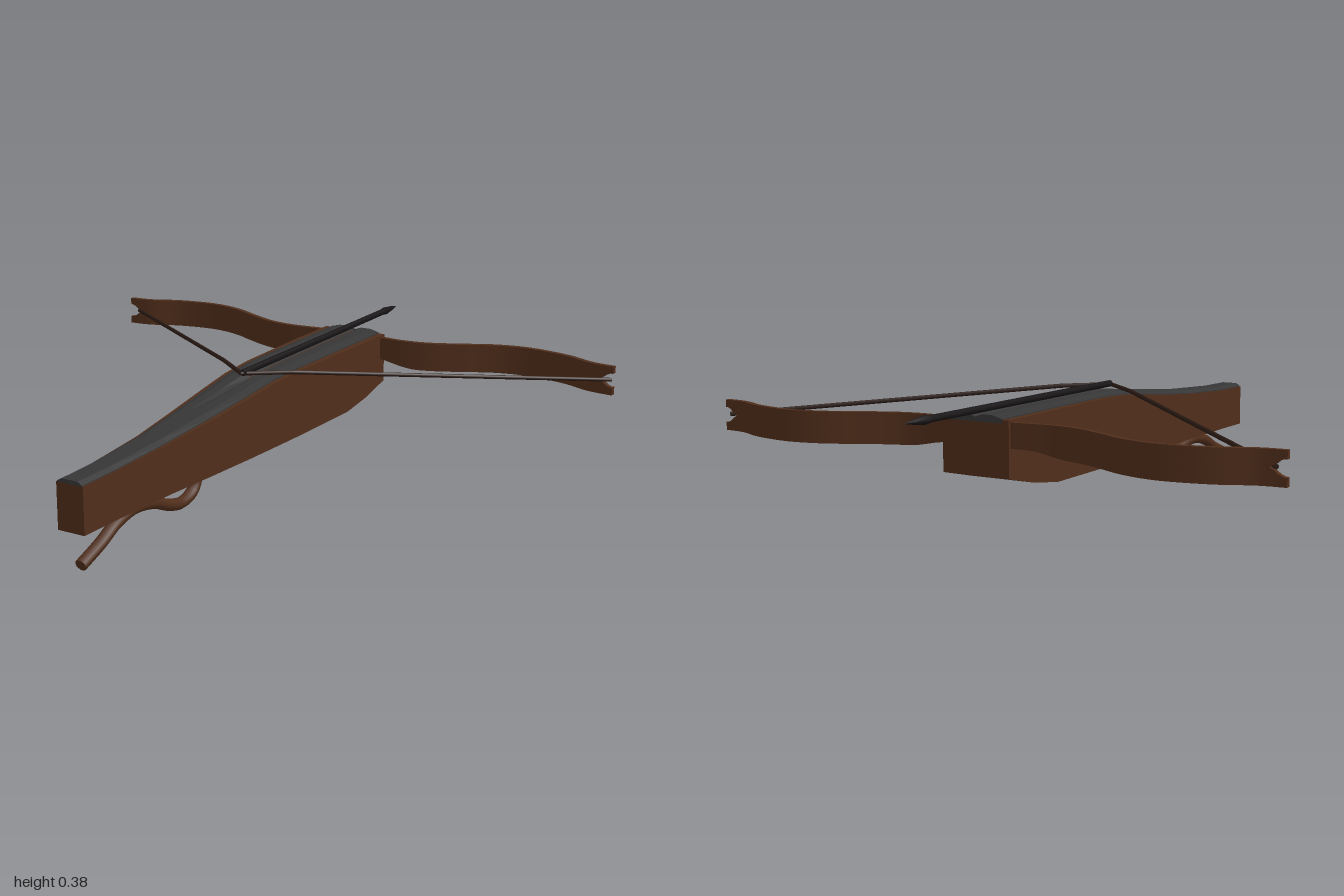
import * as THREE from 'three';

const CX = 0.026; // centre line of the stock

const paint = (color, flat = false) =>
  new THREE.MeshStandardMaterial({ color, flatShading: flat });

function add(group, name, geometry, material) {
  const mesh = new THREE.Mesh(geometry, material);
  mesh.name = name;
  group.add(mesh);
  return mesh;
}

// Skin a list of equal-length rings (counter-clockwise seen from +z, running towards -z)
function loft(rings) {
  const n = rings[0].length;
  const pos = rings.flat(2);
  const index = [];
  for (let i = 0; i < rings.length - 1; i++) {
    for (let j = 0; j < n; j++) {
      const a = i * n + j, b = i * n + (j + 1) % n;
      index.push(a, a + n, b, b, a + n, b + n);
    }
  }
  // End caps as fans around the ring centre
  [0, rings.length - 1].forEach((r, end) => {
    const c = pos.length / 3;
    for (let k = 0; k < 3; k++) pos.push(rings[r].reduce((s, p) => s + p[k], 0) / n);
    for (let j = 0; j < n; j++) {
      const a = r * n + j, b = r * n + (j + 1) % n;
      index.push(c, end ? b : a, end ? a : b);
    }
  });
  const g = new THREE.BufferGeometry();
  g.setAttribute('position', new THREE.Float32BufferAttribute(pos, 3));
  g.setIndex(index);
  const flat = g.toNonIndexed();
  flat.computeVertexNormals();
  return flat;
}

// Stock stations: z, half width, bottom, top, plate half width
const stations = [
  [1.0, 0.046, 0.135, 0.290, 0.043],
  [0.85, 0.049, 0.135, 0.292, 0.045],
  [0.6, 0.061, 0.135, 0.306, 0.052],
  [0.4, 0.077, 0.135, 0.325, 0.064],
  [0.2, 0.091, 0.135, 0.347, 0.076],
  [0.05, 0.099, 0.135, 0.364, 0.083],
  [-0.1, 0.106, 0.135, 0.370, 0.088],
  [-0.4, 0.114, 0.135, 0.370, 0.093],
  [-0.53, 0.116, 0.153, 0.369, 0.094],
  [-0.668, 0.118, 0.185, 0.368, 0.095],
];

function addStock(group, wood, iron) {
  add(group, 'stock', loft(stations.map(([z, w, b, t]) => [
    [CX - w, b, z], [CX + w, b, z], [CX + w, t - 0.012, z], [CX - w, t - 0.012, z],
  ])), wood);

  // Bevelled top plate with a bolt groove that opens towards the bow
  add(group, 'topPlate', loft(stations.map(([z, , , t, p]) => {
    const groove = 0.014 * THREE.MathUtils.smoothstep(-z, -0.4, 0);
    return [
      [CX - p, t - 0.022, z], [CX + p, t - 0.022, z], [CX + p, t - 0.009, z],
      [CX + p * 0.65, t, z], [CX + p * 0.25, t, z], [CX, t - groove, z],
      [CX - p * 0.25, t, z], [CX - p * 0.65, t, z], [CX - p, t - 0.009, z],
    ];
  })), iron);
}

// Recurve bow: an upper and a lower strip that part into a notch at each tip
function addBow(group, wood) {
  const half = [[0, -0.652], [0.1, -0.65], [0.22, -0.638], [0.32, -0.653], [0.42, -0.697],
    [0.53, -0.752], [0.65, -0.775], [0.79, -0.752], [0.88, -0.712], [0.93, -0.7], [0.98, -0.696]];
  const left = half.map(([x, z]) => new THREE.Vector2(x, z));
  const right = left.slice(1).reverse().map((p) => new THREE.Vector2(-p.x, p.y));
  const curve = new THREE.SplineCurve([...right, ...left]);

  for (const [name, sign] of [['bowUpper', 1], ['bowLower', -1]]) {
    const g = new THREE.BoxGeometry(1, 1, 1, 80, 1, 1);
    const p = g.attributes.position;
    for (let i = 0; i < p.count; i++) {
      const u = p.getX(i) + 0.5;
      const c = curve.getPoint(u);
      const t = curve.getTangent(u);
      const ax = Math.abs(c.x);
      const outer = sign > 0 ? 0.35 : 0.273 - 0.021 * THREE.MathUtils.smoothstep(ax, 0.13, 0.29);
      const inner = 0.302 + sign * 0.024 * THREE.MathUtils.clamp((ax - 0.935) / 0.03, 0, 1);
      const off = p.getZ(i) * 0.018;
      p.setXYZ(i, c.x - t.y * off, p.getY(i) * sign > 0 ? outer : inner, c.y + t.x * off);
    }
    g.computeVertexNormals();
    add(group, name, g, wood);
  }
}

// Drawn string, bent over the stock edges and hooked behind the bolt
function addString(group, material) {
  const path = new THREE.CurvePath();
  const pts = [[-0.945, 0.303, -0.695], [-0.12, 0.374, -0.015], [CX - 0.005, 0.376, 0.1],
    [0.15, 0.374, -0.005], [0.97, 0.303, -0.695]].map((p) => new THREE.Vector3(...p));
  for (let i = 0; i < pts.length - 1; i++) {
    path.add(new THREE.LineCurve3(pts[i], pts[i + 1]));
    const d = pts[i + 1].clone().sub(pts[i]);
    const g = new THREE.CylinderGeometry(0.007, 0.007, d.length() + 0.004, 8);
    const m = add(group, 'bowString' + (i + 1), g, material);
    m.position.copy(pts[i]).addScaledVector(d, 0.5);
    m.quaternion.setFromUnitVectors(new THREE.Vector3(0, 1, 0), d.normalize());
  }
}

// Bolt: nock, shaft and pointed head turned as one profile
function addBolt(group, material) {
  const profile = [[0, -0.1], [0.011, -0.1], [0.011, 0.885], [0.014, 0.905], [0.008, 0.955], [0, 1.0]]
    .map(([r, y]) => new THREE.Vector2(r, y));
  const bolt = add(group, 'bolt', new THREE.LatheGeometry(profile, 10), material);
  bolt.rotation.x = -Math.PI / 2;
  bolt.position.set(CX, 0.379, 0);
}

// Long curved trigger lever hanging beneath the stock
function addTrigger(group, wood) {
  const pts = [[0.145, 0.375], [0.105, 0.375], [0.07, 0.4], [0.053, 0.46], [0.068, 0.53],
    [0.1, 0.61], [0.113, 0.7], [0.098, 0.79], [0.06, 0.87], [0.025, 0.963]]
    .map(([y, z]) => new THREE.Vector3(CX, y, z));
  const curve = new THREE.CatmullRomCurve3(pts);
  add(group, 'triggerLever', new THREE.TubeGeometry(curve, 48, 0.019, 10), wood);
  const end = add(group, 'triggerEnd', new THREE.CircleGeometry(0.019, 10), wood);
  end.position.copy(pts[pts.length - 1]);
  end.quaternion.setFromUnitVectors(new THREE.Vector3(0, 0, 1), curve.getTangent(1));
}

export function createModel() {
  const group = new THREE.Group();
  group.name = 'crossbow';
  const wood = paint(0x4f2d1a);
  addStock(group, wood, paint(0x363636));
  addBow(group, wood);
  addString(group, paint(0x2a1a14));
  addBolt(group, paint(0x171315));
  addTrigger(group, wood);
  return group;
}
